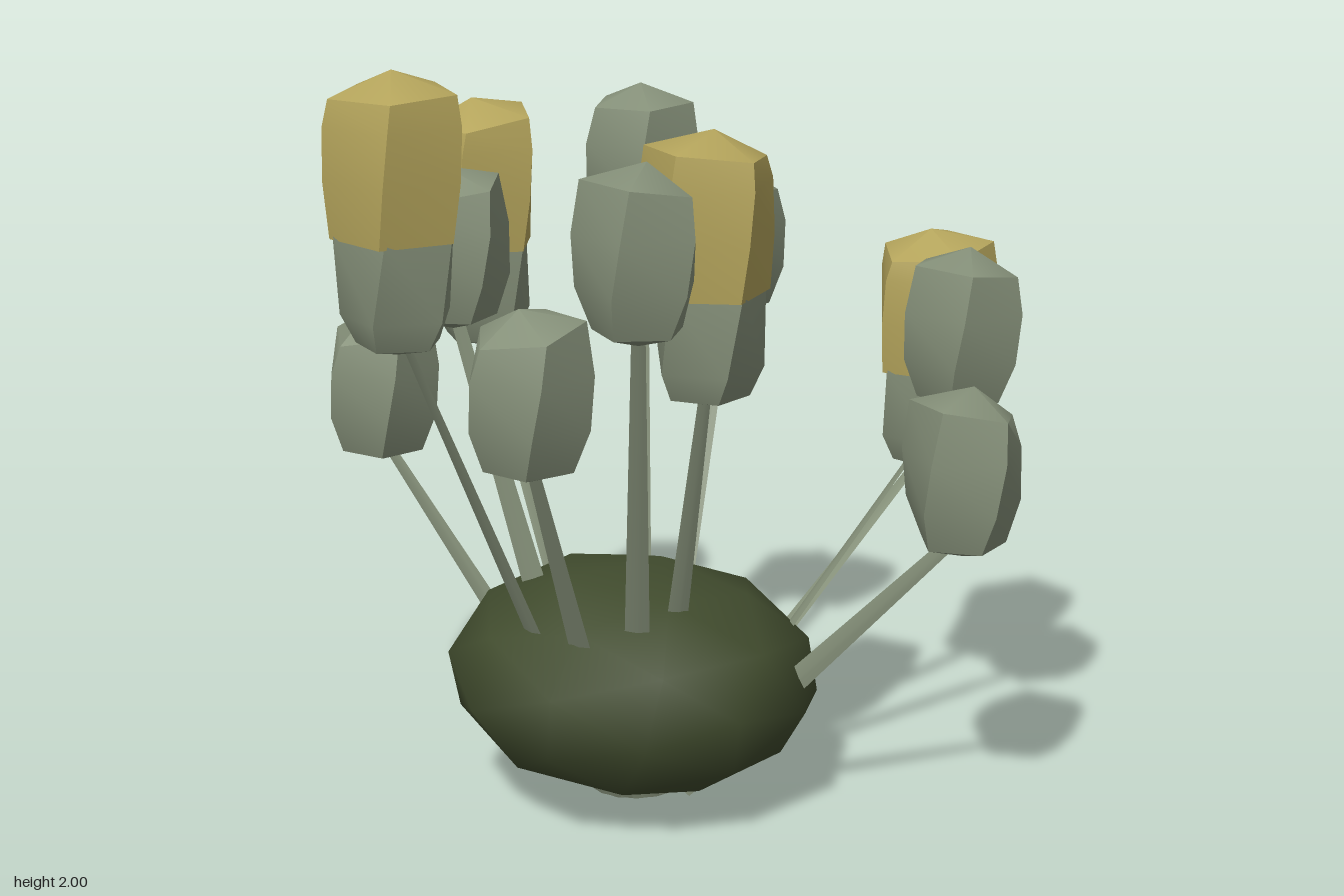
import * as THREE from 'three';
import { toCreasedNormals } from 'three/addons/utils/BufferGeometryUtils.js';

const mat = (name, color, side = THREE.FrontSide) => {
  const m = new THREE.MeshStandardMaterial({ color, side });
  m.name = name;
  return m;
};

// Faceted lathe: profile [radius, height 0..1], slightly twisted and tilted
function facetedLathe(profile, radius, height, turn, tilt, twist) {
  const pts = profile.map(([r, t]) => new THREE.Vector2(r * radius, t * height));
  const geo = new THREE.LatheGeometry(pts, 5);
  const p = geo.attributes.position;
  const v = new THREE.Vector3();
  const up = new THREE.Vector3(0, 1, 0);
  for (let i = 0; i < p.count; i++) {
    v.fromBufferAttribute(p, i);
    const t = v.y / height;
    v.applyAxisAngle(up, turn + t * twist);
    // lean the crown so the tip sits off centre and one shoulder drops
    if (t > 0.7 && t < 0.95) v.y += tilt * v.x * 0.3;
    if (t > 0.95) v.x -= tilt * radius * 0.25;
    p.setXYZ(i, v.x, v.y, v.z);
  }
  return toCreasedNormals(geo, 0.6);
}

// x, z, bottom, top, turn, tilt, flowering, stem set on edge
const PODS = [
  [-0.835, 0.175, 1.32, 1.99, 0.2, 0.1, true, false],
  [-0.14, 0.43, 1.15, 1.82, 0.9, -0.4, true, false],
  [0.84, 0.07, 0.74, 1.40, 0.5, 0.4, true, false],
  [-0.11, -0.70, 1.05, 1.73, 0.0, 0.5, true, false],
  [-0.62, 0.40, 1.03, 1.45, 0.6, 0.6, false, false],
  [-0.41, 0.545, 1.36, 1.79, 0.1, -0.6, false, false],
  [0.43, 0.71, 0.74, 1.17, 1.0, -0.7, false, true],
  [0.64, 0.435, 1.02, 1.44, 0.3, -0.5, false, false],
  [0.465, -0.355, 1.13, 1.54, 0.8, -0.5, false, false],
  [0.185, -0.355, 1.39, 1.79, 0.4, 0.1, false, false],
  [-0.415, -0.715, 0.77, 1.19, 0.7, 0.7, false, true],
  [-0.435, -0.28, 1.23, 1.65, 1.1, 0.5, false, true],
];

const BUD = [[0, 0], [0.72, 0.08], [0.96, 0.32], [1, 0.62], [0.88, 0.87], [0, 1]];
const PETALS = [[0, 0.03], [0.92, 0], [1, 0.35], [1, 0.68], [0.92, 0.86], [0, 1]];
const CUP = [[0, 0], [0.7, 0.08], [0.93, 0.3], [1, 0.95]];

// Ribbon-like tapering stem between two points
function stemMesh(from, to, onEdge, material) {
  const dir = to.clone().sub(from);
  const geo = new THREE.CylinderGeometry(0.016, 0.04, dir.length(), 4);
  if (onEdge) geo.scale(0.16, 1, 1);
  else geo.scale(1, 1, 0.16);
  const y = dir.clone().normalize();
  const x = new THREE.Vector3(-dir.z, 0, dir.x).normalize();
  const z = new THREE.Vector3().crossVectors(x, y);
  geo.applyMatrix4(new THREE.Matrix4().makeBasis(x, y, z));
  const mesh = new THREE.Mesh(toCreasedNormals(geo, 0.4), material);
  mesh.position.copy(from).add(to).multiplyScalar(0.5);
  mesh.name = 'stem';
  return mesh;
}

export function createModel() {
  const model = new THREE.Group();
  model.name = 'buddingPlant';
  const bodyMat = mat('darkOlive', 0x414c2e);
  const podMat = mat('sageGreen', 0x86917a, THREE.DoubleSide);
  const goldMat = mat('mutedGold', 0xb5a55c);

  // Squat rounded shrub, faceted in outline but smoothly shaded
  const bodyGeo = new THREE.IcosahedronGeometry(1, 1);
  bodyGeo.rotateX(0.5);
  bodyGeo.rotateZ(0.15);
  bodyGeo.scale(0.49, 0.3, 0.485);
  bodyGeo.rotateZ(-0.08);
  const body = new THREE.Mesh(bodyGeo, bodyMat);
  body.name = 'shrub';
  body.position.set(-0.085, 0.324, 0.02);
  model.add(body);

  for (const [x, z, y0, y1, turn, tilt, flowering, onEdge] of PODS) {
    const plant = new THREE.Group();
    plant.name = flowering ? 'floweringStalk' : 'buddingStalk';

    // Stems fan out from a small ring under the shrub
    const a = Math.atan2(z - 0.02, x + 0.08);
    const root = new THREE.Vector3(-0.08 + Math.cos(a) * 0.12, 0.02, 0.02 + Math.sin(a) * 0.12);
    plant.add(stemMesh(root, new THREE.Vector3(x, y0 + 0.06, z), onEdge, podMat));

    const add = (name, geo, material, y) => {
      const m = new THREE.Mesh(geo, material);
      m.name = name;
      m.position.set(x, y, z);
      plant.add(m);
    };
    if (flowering) {
      add('cup', facetedLathe(CUP, 0.148, 0.32, turn, 0.3, 0.4), podMat, y0);
      add('petals', facetedLathe(PETALS, 0.168, y1 - y0 - 0.28, turn + 0.3, tilt, 0.25), goldMat, y0 + 0.28);
    } else {
      add('bud', facetedLathe(BUD, 0.155, y1 - y0, turn, tilt, 0.5), podMat, y0);
    }
    model.add(plant);
  }
  return model;
}
